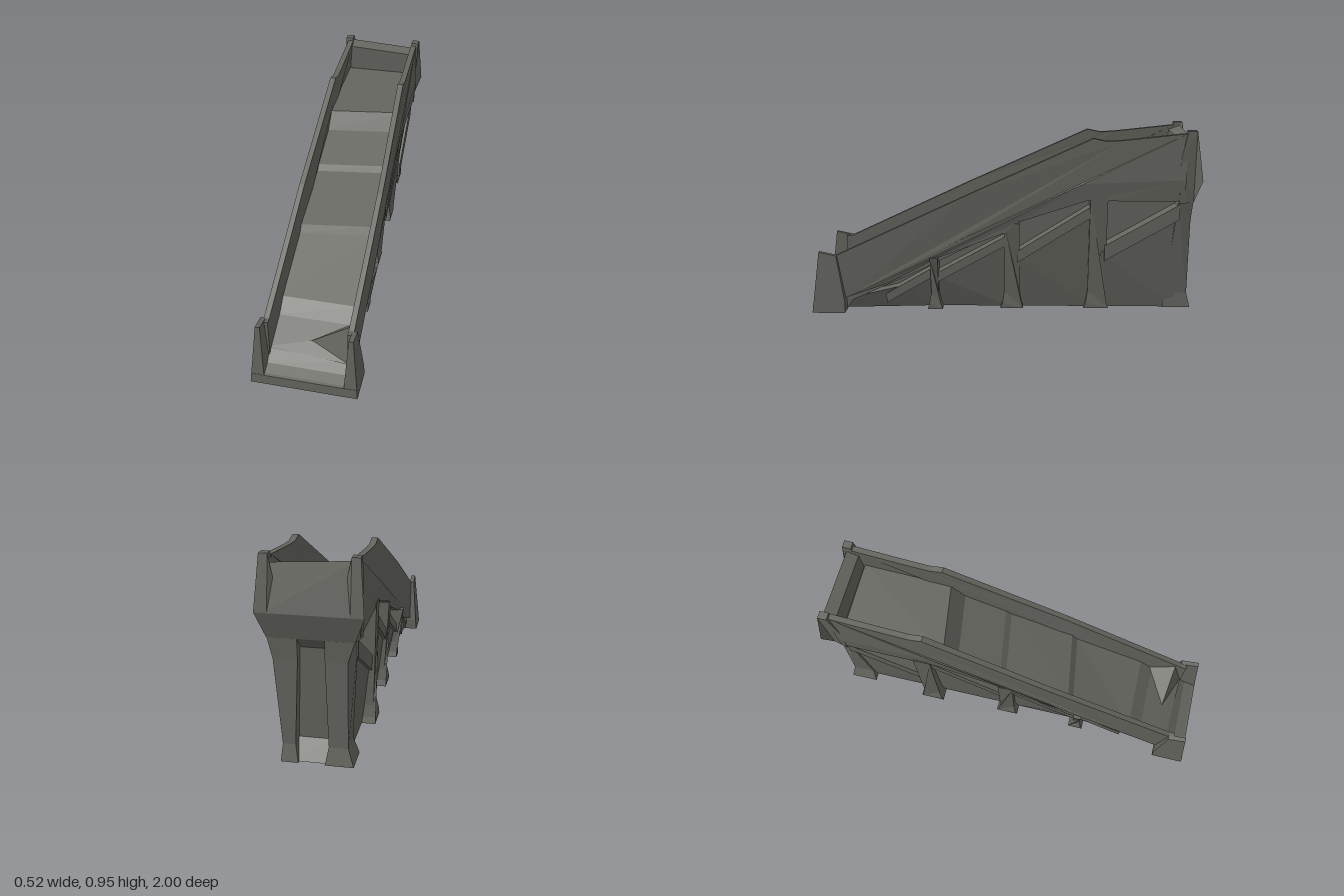
import * as THREE from 'three';

const stone = new THREE.MeshStandardMaterial({ color: 0x65655f, flatShading: true });
stone.name = 'weathered grey stone';

// Piecewise linear lookup through [input, output] pairs
function ramp(pairs, t) {
  if (t <= pairs[0][0]) return pairs[0][1];
  for (let i = 1; i < pairs.length; i++) {
    const [a, va] = pairs[i - 1], [b, vb] = pairs[i];
    if (t <= b) return va + (vb - va) * (t - a) / (b - a);
  }
  return pairs[pairs.length - 1][1];
}

// Side outline of [z, y] points, spanning x from inner(z, y) to outer(z, y)
function slab(points, inner, outer, side = 1) {
  const shape = new THREE.Shape(points.map(([z, y]) => new THREE.Vector2(-z, y)));
  const geo = new THREE.ExtrudeGeometry(shape, { depth: 1, bevelEnabled: false });
  const p = geo.attributes.position;
  for (let i = 0; i < p.count; i++) {
    const z = -p.getX(i), y = p.getY(i), w = p.getZ(i);
    const a = inner(z, y), b = outer(z, y, side);
    const x = side > 0 ? a + (b - a) * w : -(a + (b - a) * (1 - w));
    p.setXYZ(i, x, y, z);
  }
  geo.computeVertexNormals();
  return geo;
}

export function createModel() {
  const model = new THREE.Group();
  model.name = 'stoneStairRamp';
  const add = (name, geo) => {
    const mesh = new THREE.Mesh(geo, stone);
    mesh.name = name;
    model.add(mesh);
    return mesh;
  };
  const pair = (name, points, inner, outer) => {
    add(name + 'Left', slab(points, inner, outer, 1));
    add(name + 'Right', slab(points, inner, outer, -1));
  };
  const across = (name, points, half) =>
    add(name, slab(points, (z, y) => -half(z, y), half));

  // Deeply recessed core behind the bays
  across('core', [[0.95, 0], [0.9, 0.04], [0.36, 0.3], [-0.42, 0.68], [-0.9, 0.7], [-0.9, 0]],
    () => 0.115);

  // Worn steps and upper landing
  const treads = [[1, 0], [0.99, 0.05], [0.93, 0.07], [0.88, 0.115], [0.72, 0.19], [0.65, 0.25],
    [0.3, 0.4], [0.27, 0.435], [-0.07, 0.55], [-0.1, 0.575], [-0.32, 0.665], [-0.39, 0.75],
    [-0.88, 0.775], [-0.92, 0.68], [-0.42, 0.66], [0.5, 0.2], [0.8, 0.05], [0.83, 0]];
  const steps = across('steps', treads, () => 0.195);
  // Skew the treads a little so that the edges run unevenly
  const sp = steps.geometry.attributes.position;
  for (let i = 0; i < sp.count; i++) {
    const z = sp.getZ(i);
    if (z < 0.6 && z > -0.42) sp.setZ(i, z - 0.15 * sp.getX(i));
  }
  steps.geometry.computeVertexNormals();

  // Front sill below the first step
  across('frontSill', [[1, 0], [0.995, 0.05], [0.9, 0.07], [0.83, 0.03], [0.83, 0]],
    (z, y) => 0.26 - y * 0.12);

  // Sloped fragment of rubble in the left front corner
  const rubble = new THREE.BufferGeometry();
  rubble.setAttribute('position', new THREE.Float32BufferAttribute([
    0, 0.15, 0.82, 0.2, 0.11, 0.9, 0.2, 0.3, 0.84,
    0, 0.15, 0.82, 0.2, 0.3, 0.84, 0.2, 0.2, 0.7,
    -0.2, 0.12, 0.87, 0.2, 0.11, 0.9, 0, 0.15, 0.82], 3));
  rubble.computeVertexNormals();
  add('rubble', rubble);

  // Parapet walls above the steps
  const deckLine = [[-0.92, 0.7], [-0.4, 0.68], [0.3, 0.35], [0.83, 0.07]];
  pair('parapet', [[0.9, 0.05], [0.9, 0.3], [0.87, 0.3], [0.2, 0.615], [-0.45, 0.91], [-0.52, 0.895],
    [-0.6, 0.9], [-0.92, 0.935], ...deckLine],
  (z, y) => (z < -0.4 && y > 0.8 ? 0.175 : 0.19),
  (z, y) => (z < -0.4 && y > 0.8 ? 0.205 : 0.217));

  // Stringers carrying the steps, reaching in to the core
  pair('stringer', [...deckLine, [0.6, 0.15], [0.36, 0.28], [0, 0.42], [-0.08, 0.48],
    [-0.45, 0.6], [-0.53, 0.59], [-0.92, 0.59]],
  () => 0.1, (z, y) => (deckLine.some((p) => Math.abs(p[0] - z) < 1e-4 && Math.abs(p[1] - y) < 1e-4) ? 0.217 : 0.208));

  // Front newel posts, flared at the foot
  pair('frontPost', [[1, 0], [0.96, 0.32], [0.87, 0.3], [0.83, 0.06], [0.83, 0]],
    (z, y) => 0.19 + y * 0.06, (z, y) => 0.26 - y * 0.09);

  // Rear corner posts: bulging cap over a shaft that leans inward
  pair('rearCap', [[-0.965, 0.58], [-1, 0.7], [-0.965, 0.95], [-0.92, 0.95], [-0.89, 0.8], [-0.89, 0.58]],
    (z, y) => (y < 0.6 ? 0.1 : 0.178),
    (z, y) => (z > -0.91 ? 0.214 : ramp([[0.58, 0.195], [0.7, 0.237], [0.95, 0.217]], y)));
  const leftShaft = [[0, 0.14], [0.1, 0.132], [0.48, 0.17], [0.59, 0.195]];
  const rightShaft = [[0, 0.19], [0.1, 0.156], [0.48, 0.16], [0.59, 0.195]];
  pair('rearShaft', [[-0.985, 0], [-0.965, 0.08], [-0.96, 0.48], [-0.965, 0.585], [-0.89, 0.585],
    [-0.875, 0.48], [-0.85, 0.08], [-0.84, 0]],
  (z, y) => (y > 0.45 || y < 0.02 ? 0.06 : 0.075),
  (z, y, side) => ramp(side > 0 ? leftShaft : rightShaft, y));

  // Rear wall above the recessed slot, lower toward the left
  const wall = across('rearWall', [[-0.89, 0.7], [-0.89, 0.9], [-0.95, 0.92], [-1, 0.7],
    [-0.965, 0.58], [-0.9, 0.52]], (z, y) => (y > 0.65 ? 0.2 : 0.17));
  const wp = wall.geometry.attributes.position;
  for (let i = 0; i < wp.count; i++) {
    if (wp.getY(i) > 0.85) wp.setY(i, wp.getY(i) - 0.06 * wp.getX(i));
  }
  wall.geometry.computeVertexNormals();
  across('rearSill', [[-0.89, 0], [-0.89, 0.1], [-0.97, 0]], () => 0.1);

  // Side posts: [front z, back z, top y, x at top, x of left foot, x of right foot]
  [[0.385, 0.345, 0.29, 0.232, 0.19, 0.2], [0, -0.08, 0.47, 0.21, 0.172, 0.2],
    [-0.44, -0.53, 0.61, 0.213, 0.163, 0.215]].forEach(([z0, z1, top, xTop, xLeft, xRight], i) => {
    pair('sidePost' + (i + 1), [[z0 + 0.02, 0], [z0 + 0.01, 0.03], [z0, 0.09], [z0, top],
      [z1, top], [z1, 0.09], [z1 - 0.01, 0.03], [z1 - 0.02, 0]],
    () => 0.1, (z, y, side) => {
      const foot = side > 0 ? xLeft : xRight;
      return ramp([[0, foot], [0.03, foot], [0.09, foot - 0.012], [top, xTop]], y);
    });
  });

  // Infill panels below the braces, leaning inward to the ground
  [[[0.83, 0], [0.8, 0.06], [0.56, 0.12], [0.36, 0.2], [0.36, 0]],
    [[0.36, 0], [0.36, 0.18], [-0.02, 0.37], [-0.02, 0]],
    [[-0.05, 0], [-0.05, 0.29], [-0.47, 0.54], [-0.47, 0]],
    [[-0.5, 0], [-0.5, 0.31], [-0.9, 0.54], [-0.9, 0]]].forEach((points, i) => {
    pair('infillPanel' + (i + 1), points, () => 0.09,
      (z, y, side) => (y > 0.01 ? 0.182 : (side > 0 ? 0.13 : 0.148) + (z > 0.5 ? 0.035 : 0)));
  });

  // Diagonal braces: from [z, y] to [z, y], with thickness
  [[0.62, 0.06, 0.38, 0.2, 0.05], [0.36, 0.17, 0, 0.37, 0.05],
    [-0.07, 0.29, -0.45, 0.53, 0.06], [-0.52, 0.31, -0.9, 0.53, 0.08]].forEach(([z0, y0, z1, y1, t], i) => {
    pair('brace' + (i + 1), [[z0, y0 - t / 2], [z1, y1 - t / 2], [z1, y1 + t / 2], [z0, y0 + t / 2]],
      () => 0.1, () => 0.195);
  });

  return model;
}
